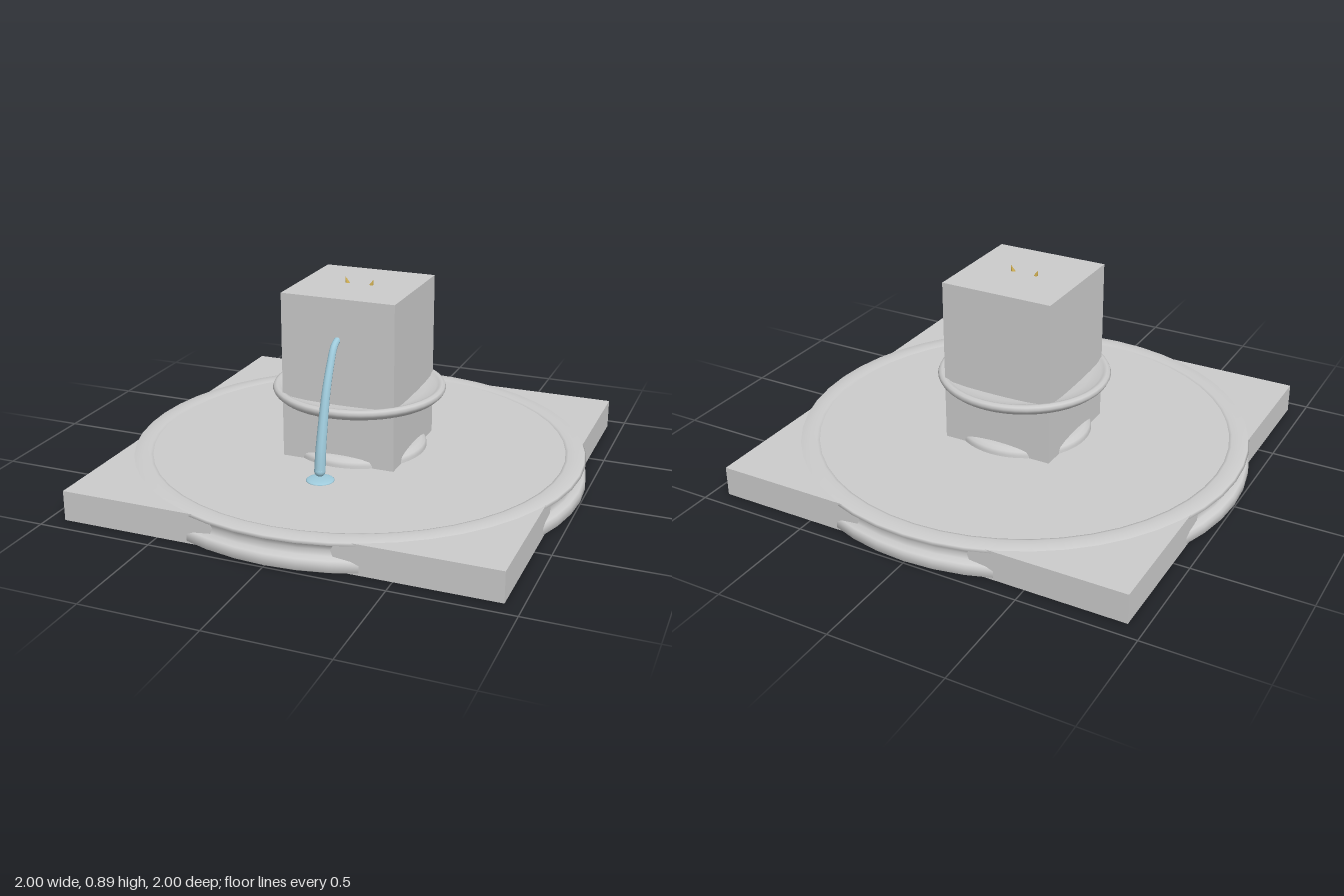
import * as THREE from 'three';

const grey = new THREE.MeshStandardMaterial({ color: 0xcccccc, side: THREE.DoubleSide });
const waterMat = new THREE.MeshStandardMaterial({ color: 0x9fcbdc, side: THREE.DoubleSide });
const gold = new THREE.MeshStandardMaterial({ color: 0xc9a94f });

export function createModel() {
  const model = new THREE.Group();
  model.name = 'fountain';

  const add = (name, geometry, material, x = 0, y = 0, z = 0) => {
    const mesh = new THREE.Mesh(geometry, material);
    mesh.name = name;
    mesh.position.set(x, y, z);
    model.add(mesh);
    return mesh;
  };
  const lathe = (points, segments = 48) =>
    new THREE.LatheGeometry(points.map(([r, y]) => new THREE.Vector2(r, y)), segments);

  // Square slab that fills the round basin
  add('slab', new THREE.BoxGeometry(1.86, 0.13, 1.86), grey, 0, 0.065);

  // Round basin: moulded outer wall with a groove and a soft rim
  add('basin', lathe([
    [0.9, 0.002], [0.985, 0], [1, 0.01], [1, 0.04], [0.99, 0.052], [0.966, 0.06],
    [0.963, 0.085], [0.967, 0.108], [0.985, 0.114], [0.997, 0.12], [0.99, 0.13],
    [0.95, 0.134], [0.92, 0.133], [0.9, 0.128], [0.895, 0.1],
  ]), grey);

  // Water sheet low in the basin
  const sheet = add('basinWater', new THREE.CircleGeometry(0.88, 48), waterMat, 0, 0.003);
  sheet.rotation.x = Math.PI / 2;

  // Square pillar and its round foot
  add('pillar', new THREE.BoxGeometry(0.506, 0.76, 0.506), grey, 0, 0.48);
  add('pillarFoot', lathe([
    [0.3, 0.1], [0.298, 0.14], [0.292, 0.155], [0.275, 0.163], [0.25, 0.17], [0, 0.17],
  ]), grey);

  // Shallow bowl around the pillar
  add('bowl', lathe([
    [0.15, 0.335], [0.25, 0.346], [0.31, 0.358], [0.355, 0.373], [0.372, 0.388],
    [0.379, 0.402], [0.374, 0.414], [0.362, 0.419], [0.348, 0.416], [0.335, 0.405],
    [0.29, 0.398], [0.2, 0.392],
  ]), grey);

  // Falling jet: a tube that thickens towards its lower end
  const path = new THREE.CatmullRomCurve3([
    [0.685, 0.24], [0.665, 0.285], [0.6, 0.325], [0.5, 0.37], [0.38, 0.405], [0.25, 0.435], [0.17, 0.445],
  ].map(([y, z]) => new THREE.Vector3(0, y, z)));
  const rings = 32, sides = 12;
  const jet = new THREE.TubeGeometry(path, rings, 1, sides, false);
  const pos = jet.attributes.position;
  const v = new THREE.Vector3();
  for (let i = 0; i <= rings; i++) {
    const centre = path.getPointAt(i / rings);
    const radius = 0.014 + 0.01 * (i / rings);
    for (let j = 0; j <= sides; j++) {
      const k = i * (sides + 1) + j;
      v.fromBufferAttribute(pos, k).sub(centre).multiplyScalar(radius).add(centre);
      pos.setXYZ(k, v.x, v.y, v.z);
    }
  }
  jet.computeVertexNormals();
  add('jet', jet, waterMat);
  add('jetTip', new THREE.SphereGeometry(0.024, 14, 10), waterMat, 0, 0.172, 0.445);

  // Splash where the jet lands
  add('splash', new THREE.SphereGeometry(0.06, 24, 10), waterMat, 0, 0.13, 0.442).scale.y = 0.17;

  // Pair of small gilt points leaning outwards on the pillar top
  for (const side of [-1, 1]) {
    const point = add(side > 0 ? 'leftPoint' : 'rightPoint',
      new THREE.ConeGeometry(0.016, 0.05, 10), gold, side * 0.056, 0.862);
    point.rotation.z = -side * 0.35;
  }

  return model;
}
